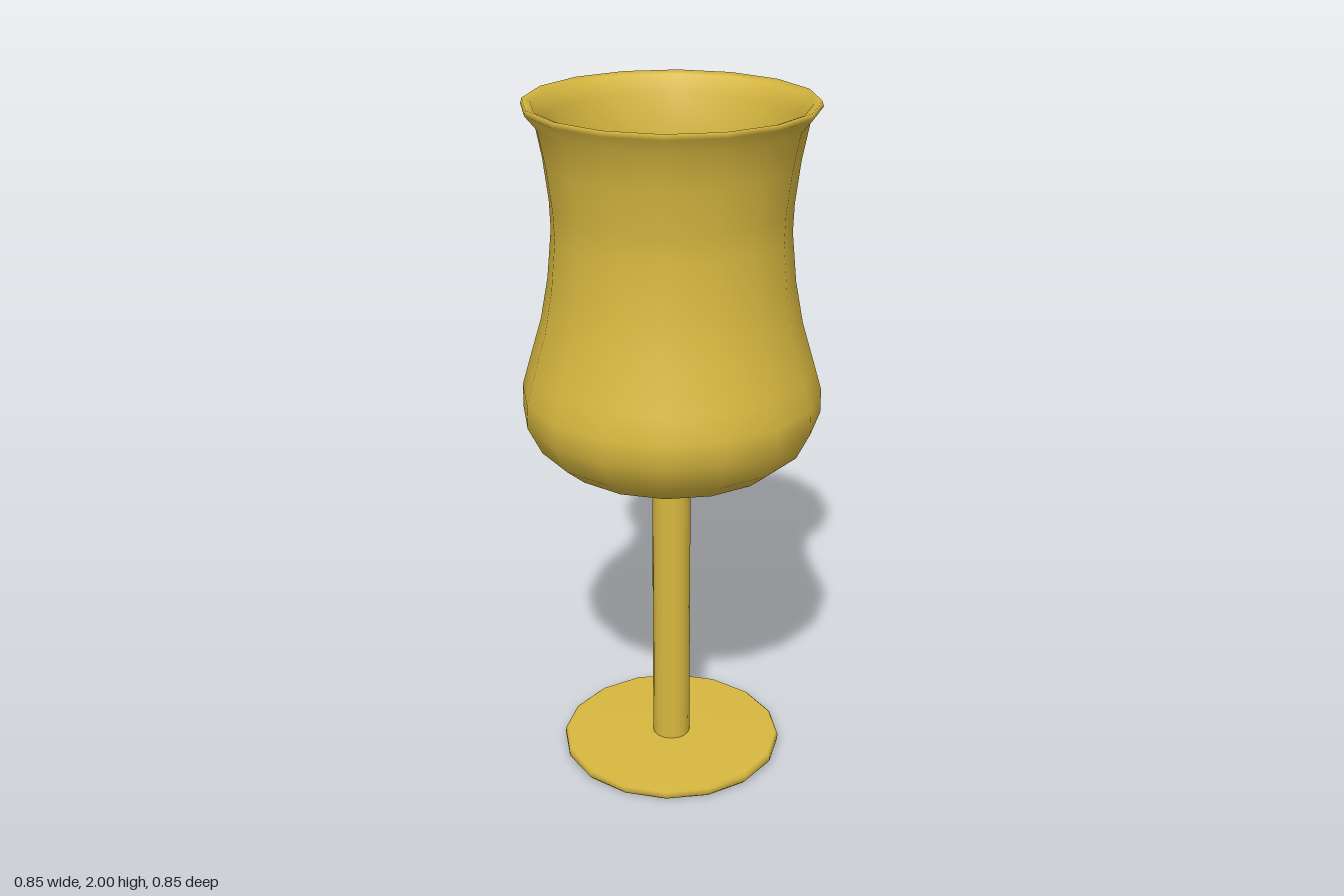
import * as THREE from 'three';

const SIDES = 16;

// Revolve a radius/height profile; smooth normals, faceted outline
function turned(name, profile, material) {
  const points = profile.map(([r, y]) => new THREE.Vector2(r, y));
  const mesh = new THREE.Mesh(new THREE.LatheGeometry(points, SIDES), material);
  mesh.name = name;
  return mesh;
}

export function createModel() {
  const gold = new THREE.MeshStandardMaterial({ color: 0xd8b840 });
  gold.name = 'gold';

  const goblet = new THREE.Group();
  goblet.name = 'goblet';

  // Thin round foot
  goblet.add(turned('foot', [
    [0, 0], [0.322, 0], [0.33, 0.01], [0.33, 0.026], [0.322, 0.033], [0.05, 0.035],
  ], gold));

  // Straight stem
  goblet.add(turned('stem', [[0.056, 0.03], [0.056, 0.96]], gold));

  // Hollow bowl: outside from the bottom up, over the lip, then down the inside
  goblet.add(turned('bowl', [
    [0, 0.945], [0.1, 0.948], [0.24, 0.958], [0.325, 0.98], [0.385, 1.03],
    [0.425, 1.11], [0.425, 1.18], [0.405, 1.25], [0.367, 1.38], [0.345, 1.5],
    [0.332, 1.64], [0.335, 1.72], [0.35, 1.84], [0.371, 1.945],
    [0.404, 1.985], [0.4, 2], [0.378, 1.992],
    [0.35, 1.945], [0.33, 1.84], [0.314, 1.72], [0.311, 1.64], [0.324, 1.5],
    [0.346, 1.38], [0.384, 1.25], [0.403, 1.18], [0.403, 1.115],
    [0.368, 1.045], [0.315, 1], [0.235, 0.979], [0.1, 0.97], [0, 0.968],
  ], gold));

  return goblet;
}
